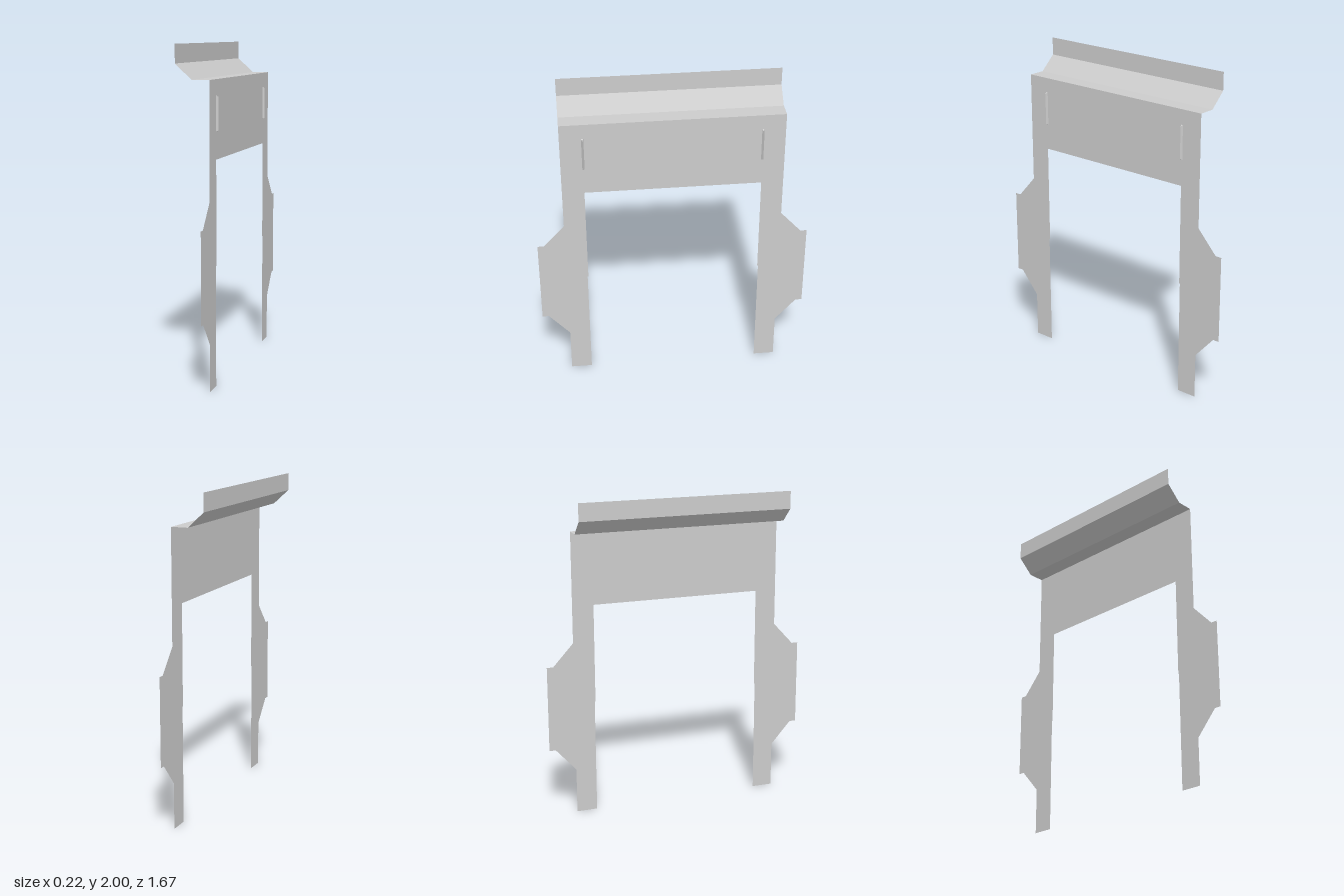
import * as THREE from 'three';
import { ConvexGeometry } from 'three/addons/geometries/ConvexGeometry.js';

const PLATE_X = 0.094;
const HALF_WIDTH = 0.667;

export function createModel() {
  const group = new THREE.Group();
  const material = new THREE.MeshStandardMaterial({
    color: 0xcccccc, flatShading: true, side: THREE.DoubleSide,
  });
  const add = (name, geometry) => {
    const mesh = new THREE.Mesh(geometry, material);
    mesh.name = name;
    group.add(mesh);
    return mesh;
  };

  // Sheet with two legs and side tabs: half outline, mirrored
  const half = [
    [HALF_WIDTH, 1.8], [HALF_WIDTH, 1.11], [0.795, 0.97], [0.835, 0.97],
    [0.835, 0.43], [0.795, 0.43], [HALF_WIDTH, 0.285], [HALF_WIDTH, 0],
    [0.538, 0], [0.538, 0.72], [0.533, 0.72], [0.533, 1.34],
  ];
  const mirrored = half.map(([u, v]) => [-u, v]).reverse();
  const outline = [...half, ...mirrored].map(([u, v]) => new THREE.Vector2(u, v));
  const plate = new THREE.ShapeGeometry(new THREE.Shape(outline));
  plate.rotateY(Math.PI / 2);
  add('legPlate', plate).position.x = PLATE_X;

  // Folded top strips: flat ledge, sloped band and upright lip
  const fold = [[PLATE_X, 1.8], [-0.01, 1.8], [-0.108, 1.89], [-0.108, 2]];
  ['flatLedge', 'slopedBand', 'uprightLip'].forEach((name, i) => {
    const [x0, y0] = fold[i];
    const [x1, y1] = fold[i + 1];
    const strip = new THREE.PlaneGeometry(Math.hypot(x1 - x0, y1 - y0), 2 * HALF_WIDTH);
    strip.rotateX(-Math.PI / 2);
    strip.rotateZ(Math.atan2(y1 - y0, x1 - x0));
    add(name, strip).position.set((x0 + x1) / 2, (y0 + y1) / 2, 0);
  });

  // Small vertical ridges with tapered ends
  for (const side of [1, -1]) {
    const points = [];
    for (const [y, tipY] of [[1.5, 1.508], [1.708, 1.7]]) {
      points.push(
        new THREE.Vector3(0, y, -0.007),
        new THREE.Vector3(0, y, 0.007),
        new THREE.Vector3(0.013, tipY, 0),
      );
    }
    const ridge = add(side > 0 ? 'frontRidge' : 'backRidge', new ConvexGeometry(points));
    ridge.position.set(PLATE_X, 0, side * 0.532);
  }

  return group;
}
